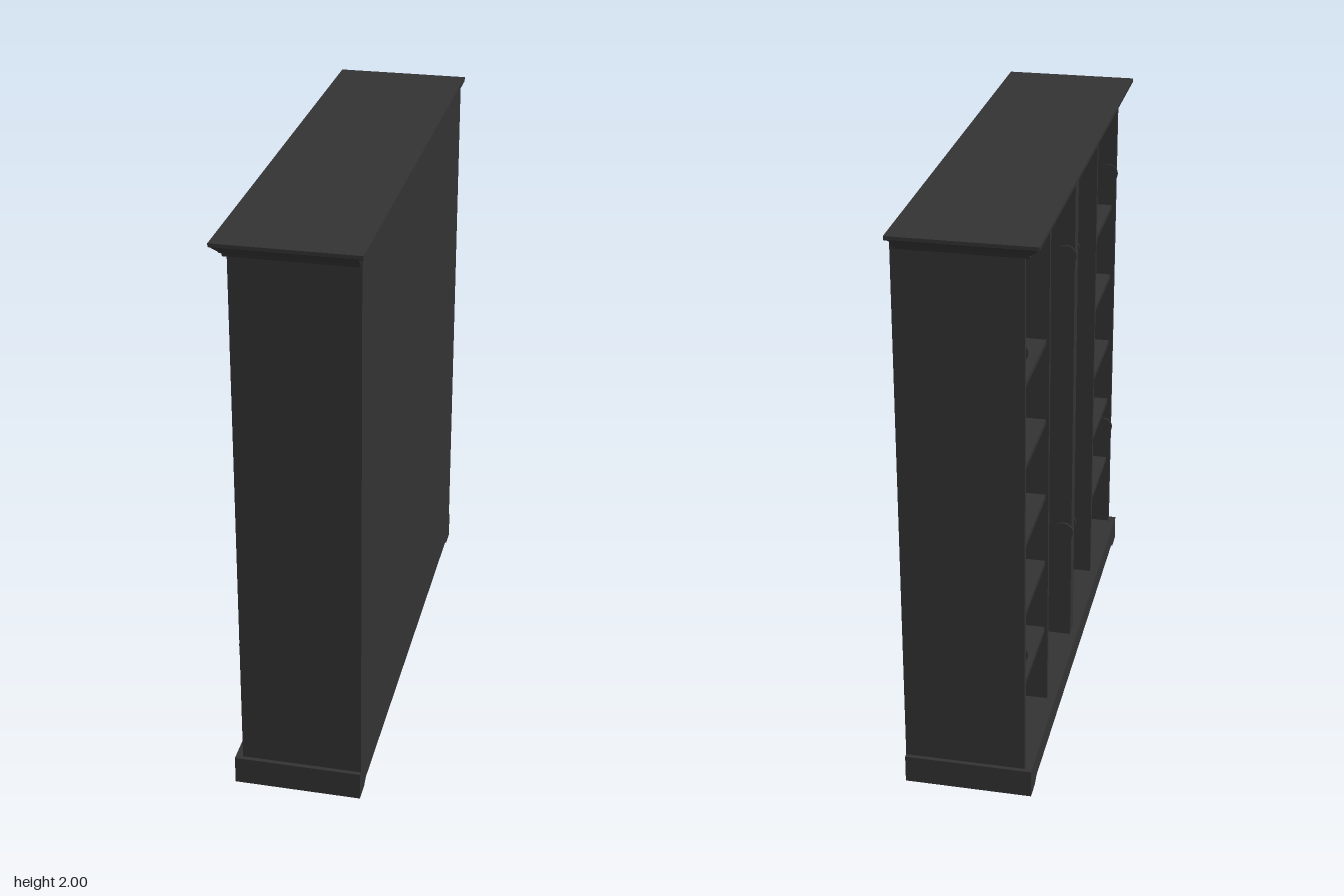
import * as THREE from 'three';

const mat = new THREE.MeshStandardMaterial({ color: 0x333333 });

export function createModel() {
  const group = new THREE.Group();
  const add = (name, geo) => {
    const m = new THREE.Mesh(geo, mat);
    m.name = name;
    group.add(m);
    return m;
  };
  // Box given by its lower and upper corners
  const box = (name, x0, x1, y0, y1, z0, z1) =>
    add(name, new THREE.BoxGeometry(x1 - x0, y1 - y0, z1 - z0))
      .position.set((x0 + x1) / 2, (y0 + y1) / 2, (z0 + z1) / 2);

  // Carcass: back, sides and dividers; the open side faces -x
  box('backPanel', 0.21, 0.225, 0.1, 1.985, -0.89, 0.89);
  for (const s of [-1, 1]) {
    const span = (a, b) => (s > 0 ? [a, b] : [-b, -a]);
    box('sidePanel', -0.19, 0.21, 0.1, 1.96, ...span(0.87, 0.89));
    box('divider', -0.185, 0.21, 0.1, 1.955, ...span(0.445, 0.465));
    for (const y of [0.4, 0.67, 0.93, 1.215, 1.505]) {
      box('shelf', -0.175, 0.21, y - 0.018, y, ...span(0.465, 0.87));
    }
    // Side boards of the plinth
    box('plinthSide', -0.2, 0.21, 0, 0.1, ...span(0.885, 0.905));
  }
  box('centreDivider', -0.19, 0.21, 0.1, 1.955, -0.03, 0.03);
  box('floor', -0.2, 0.21, 0.02, 0.1, -0.885, 0.885);

  // Plinth rails with a shallow cut-out between the feet
  const rail = new THREE.Shape([
    [-0.905, 0], [-0.835, 0], [-0.825, 0.008], [-0.805, 0.018], [0.805, 0.018],
    [0.825, 0.008], [0.835, 0], [0.905, 0], [0.905, 0.1], [-0.905, 0.1],
  ].map(([z, y]) => new THREE.Vector2(z, y)));
  for (const [name, x] of [['plinthFront', -0.215], ['plinthBack', 0.21]]) {
    const m = add(name, new THREE.ExtrudeGeometry(rail, { depth: 0.015, bevelEnabled: false }));
    m.rotation.y = Math.PI / 2;
    m.position.x = x;
  }

  // Crown moulding: stacked rectangles [y, front x, back x, half width]
  const rings = [
    [1.95, -0.205, 0.215, 0.89], [1.962, -0.205, 0.22, 0.894],
    [1.962, -0.212, 0.22, 0.897], [1.97, -0.217, 0.22, 0.902],
    [1.983, -0.232, 0.22, 0.913], [1.985, -0.232, 0.235, 0.915],
    [1.988, -0.24, 0.235, 0.92], [2, -0.24, 0.235, 0.92],
  ];
  const pos = [];
  const corners = ([y, a, b, w]) => [[a, y, w], [b, y, w], [b, y, -w], [a, y, -w]];
  const quad = (a, b, c, d) => pos.push(...a, ...b, ...c, ...a, ...c, ...d);
  for (let i = 0; i < rings.length - 1; i++) {
    const lo = corners(rings[i]), hi = corners(rings[i + 1]);
    for (let k = 0; k < 4; k++) {
      const n = (k + 1) % 4;
      quad(lo[k], lo[n], hi[n], hi[k]);
    }
  }
  quad(...corners(rings[0]).reverse());
  quad(...corners(rings[rings.length - 1]));
  const crown = new THREE.BufferGeometry();
  crown.setAttribute('position', new THREE.Float32BufferAttribute(pos, 3));
  crown.computeVertexNormals();
  add('crown', crown);

  // Round hinge plates on the sides and the centre divider
  for (const y of [0.545, 1.635]) {
    for (const z of [-0.867, -0.033, 0.033, 0.867]) {
      const hinge = add('hingePlate', new THREE.CylinderGeometry(0.037, 0.037, 0.008, 20));
      hinge.rotation.x = Math.PI / 2;
      hinge.position.set(-0.16, y, z);
    }
  }
  return group;
}
